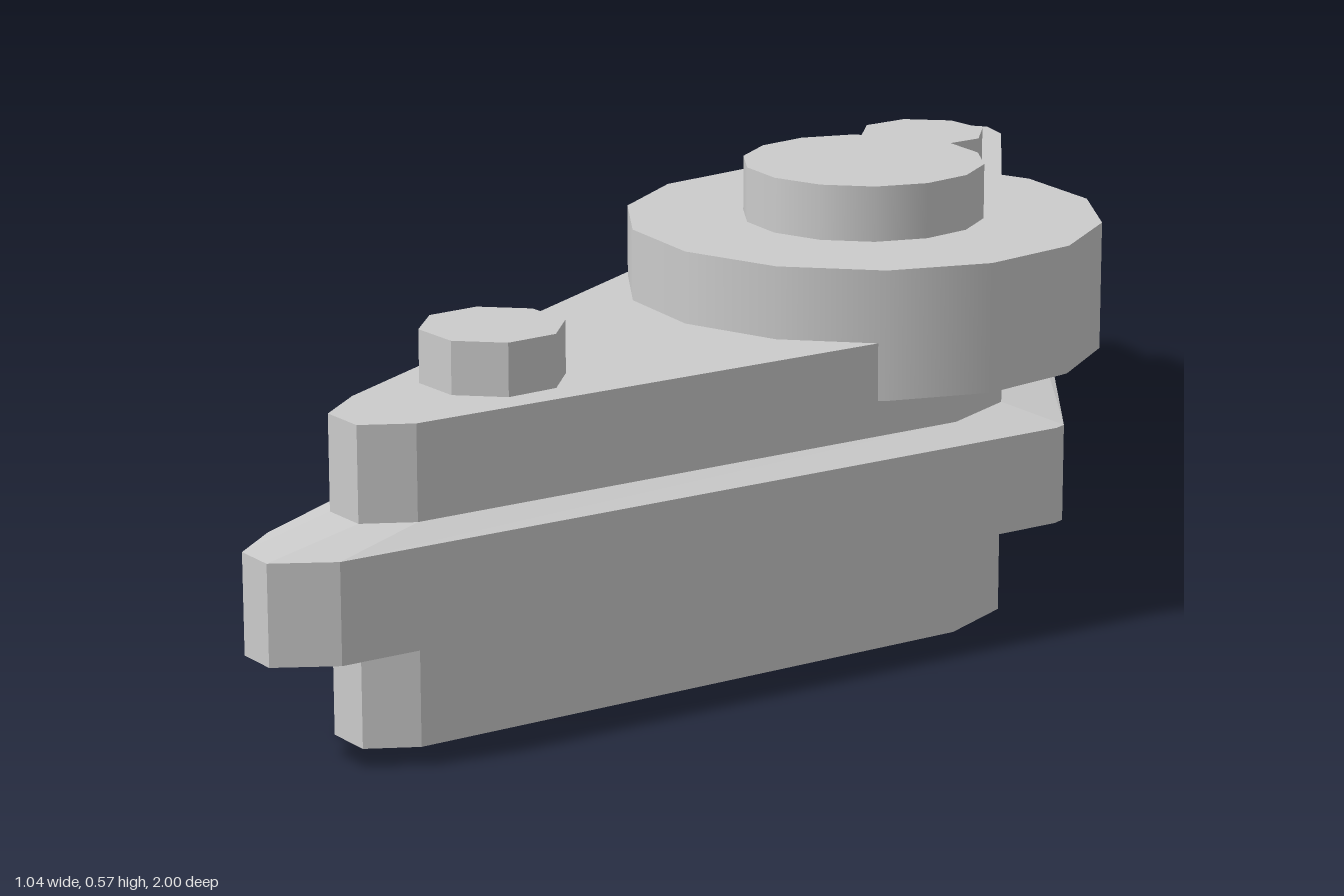
import * as THREE from 'three';

// Plan outlines as [x, z], anticlockwise seen from above
const INNER = [[0.35, -0.86], [0.31, -0.81], [-0.41, 0.75], [-0.43, 0.83], [-0.39, 0.88],
  [-0.32, 0.87], [0.325, 0.4], [0.385, 0.3], [0.405, -0.8], [0.385, -0.85]];
const OUTER = [[0.35, -1], [0.29, -0.935], [-0.5, 0.87], [-0.52, 0.95], [-0.485, 0.995],
  [-0.4, 0.985], [0.455, 0.37], [0.465, 0.355], [0.44, -0.93], [0.4, -1]];

// Skin between stacked outlines, each given as [outline, y]
function loft(rings) {
  const pos = [];
  for (let r = 0; r + 1 < rings.length; r++) {
    const [low, y0] = rings[r];
    const [high, y1] = rings[r + 1];
    low.forEach((p, i) => {
      const j = (i + 1) % low.length;
      const a = [p[0], y0, p[1]], b = [low[j][0], y0, low[j][1]];
      const c = [high[j][0], y1, high[j][1]], d = [high[i][0], y1, high[i][1]];
      pos.push(...a, ...b, ...c, ...a, ...c, ...d);
    });
  }
  const geometry = new THREE.BufferGeometry();
  geometry.setAttribute('position', new THREE.Float32BufferAttribute(pos, 3));
  geometry.computeVertexNormals();
  return geometry;
}

export function createModel() {
  const group = new THREE.Group();
  const smooth = new THREE.MeshStandardMaterial({ color: 0xcccccc });
  const flat = new THREE.MeshStandardMaterial({ color: 0xcccccc, flatShading: true });

  const add = (name, geometry, material) => {
    const mesh = new THREE.Mesh(geometry, material);
    mesh.name = name;
    group.add(mesh);
    return mesh;
  };
  // Upright cylinder from y0 to y1
  const drum = (name, x, z, radius, y0, y1, sides, turn, material) => {
    const mesh = add(name, new THREE.CylinderGeometry(radius, radius, y1 - y0, sides), material);
    mesh.position.set(x, (y0 + y1) / 2, z);
    mesh.rotation.y = THREE.MathUtils.degToRad(turn);
  };

  // Triangular body
  const shape = new THREE.Shape(INNER.map(([x, z]) => new THREE.Vector2(x, -z)));
  const body = new THREE.ExtrudeGeometry(shape, { depth: 0.405, bevelEnabled: false });
  add('body', body.rotateX(-Math.PI / 2), flat);

  // Flange around the middle, with gently sloping top and underside
  add('flange', loft([[INNER, 0.125], [OUTER, 0.14], [OUTER, 0.268], [INNER, 0.283]]), flat);

  // Round turret and its cap
  drum('turretDisk', 0.202, 0.16, 0.316, 0.33, 0.5, 14, 6, smooth);
  drum('turretCap', 0.202, 0.16, 0.16, 0.5, 0.573, 14, 6, smooth);

  // Bolt heads near the two narrow ends
  for (const [name, x, z] of [['frontBolt', -0.247, 0.66], ['backBolt', 0.283, -0.49]]) {
    drum(name, x, z, 0.092, 0.4, 0.473, 8, 17, flat);
  }
  return group;
}
